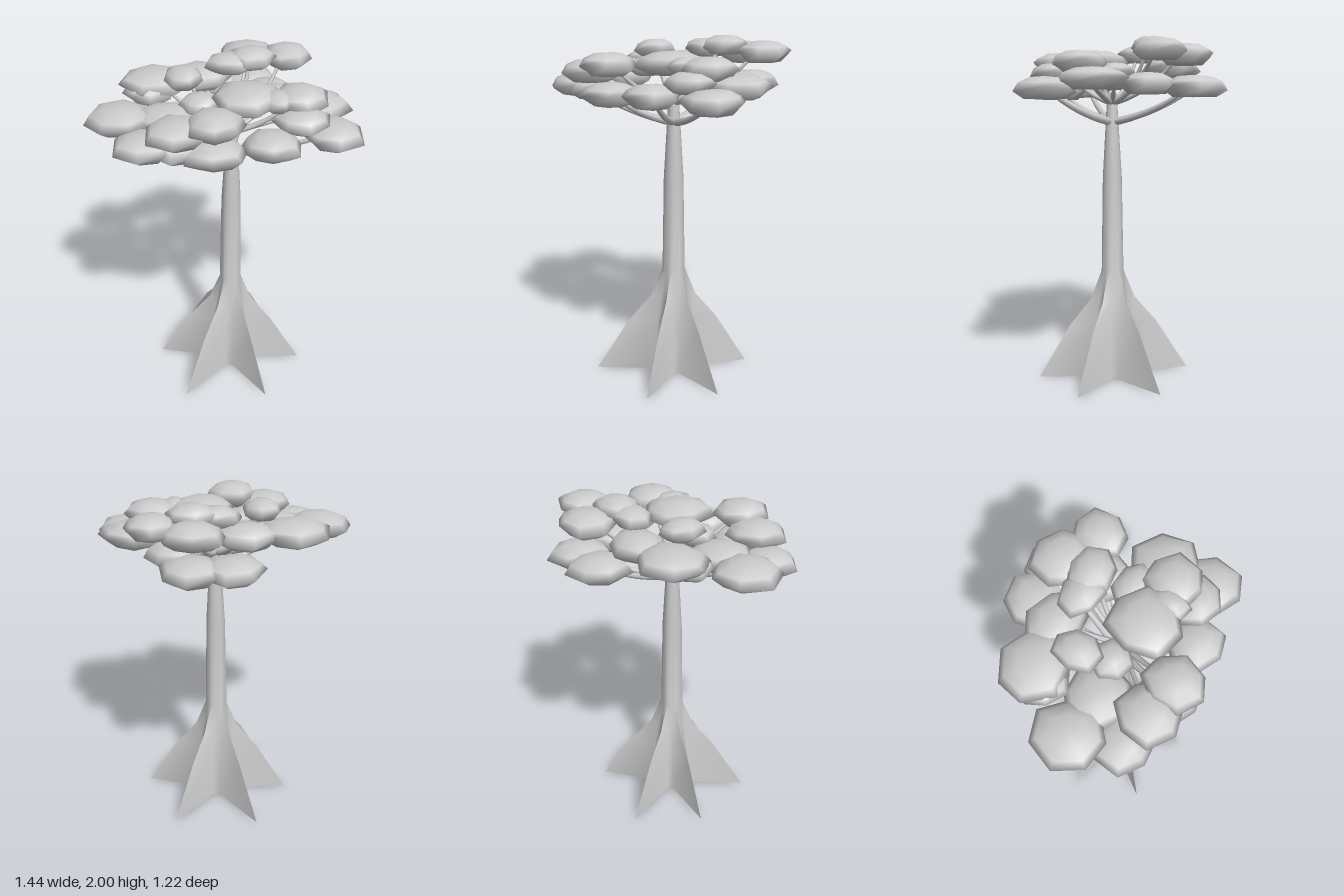
import * as THREE from 'three';
import { toCreasedNormals, mergeVertices } from 'three/addons/utils/BufferGeometryUtils.js';

const AXIS_X = 0.06, AXIS_Z = 0.07;
const material = new THREE.MeshStandardMaterial({ color: 0xcccccc });
const openMaterial = new THREE.MeshStandardMaterial({ color: 0xcccccc, side: THREE.DoubleSide });

// Buttress fins: angle in degrees and reach at the ground
const FINS = [[10, 0.445], [65, 0.445], [130, 0.47], [187, 0.445], [241, 0.47], [307, 0.45]];

// Trunk levels: height, share of the fin reach, radius of the valleys between fins
const LEVELS = [
  [0, 1, 0.13], [0.31, 0.58, 0.11], [0.47, 0.29, 0.088], [0.64, 0.145, 0.062],
  [1.2, 0.124, 0.055], [1.5, 0.085, 0.038], [1.69, 0.06, 0.027],
];

// Leaf clumps on their own branch: x, y, z, half width in x, half width in z
const CLUMPS = [
  // low tier
  [-0.41, 1.72, 0.37, 0.16, 0.16], [-0.06, 1.7, 0.43, 0.17, 0.16], [0.23, 1.715, 0.4, 0.16, 0.15],
  [0.565, 1.71, 0.29, 0.16, 0.18], [-0.01, 1.72, -0.42, 0.17, 0.17], [0.2, 1.72, -0.43, 0.17, 0.17],
  // middle tier
  [-0.53, 1.765, 0.14, 0.18, 0.19], [0.5, 1.76, 0.05, 0.2, 0.19], [-0.34, 1.83, -0.18, 0.21, 0.18],
  [-0.09, 1.83, -0.23, 0.18, 0.15], [-0.24, 1.81, 0.41, 0.17, 0.17], [-0.06, 1.86, 0.44, 0.15, 0.16],
  [0.3, 1.8, -0.02, 0.14, 0.1], [0.41, 1.85, 0.15, 0.15, 0.16],
  // high tier
  [0.13, 1.86, 0.15, 0.19, 0.2], [-0.19, 1.91, -0.03, 0.11, 0.13], [0.19, 1.89, -0.38, 0.17, 0.16],
  [0.4, 1.91, -0.29, 0.14, 0.15], [0.19, 1.94, -0.2, 0.14, 0.12],
];

// Clumps that only join their neighbours
const FILLERS = [
  [-0.25, 1.71, 0.38, 0.15, 0.14], [0.29, 1.735, -0.2, 0.15, 0.16], [-0.29, 1.76, 0.15, 0.19, 0.17],
  [-0.38, 1.8, -0.1, 0.14, 0.12], [0.4, 1.79, 0.3, 0.15, 0.12], [-0.11, 1.82, 0.11, 0.11, 0.11],
  [0.28, 1.86, 0.2, 0.09, 0.11], [0.07, 1.92, -0.18, 0.14, 0.11],
];

// Grid of rows x columns, closed around, from a point function
function loft(rows, cols, point) {
  const pos = [], index = [];
  for (let i = 0; i < rows; i++)
    for (let j = 0; j < cols; j++) pos.push(...point(i, j));
  for (let i = 0; i < rows - 1; i++)
    for (let j = 0; j < cols; j++) {
      const a = i * cols + j, b = i * cols + (j + 1) % cols, c = a + cols, d = b + cols;
      index.push(a, c, b, b, c, d);
    }
  const geo = new THREE.BufferGeometry();
  geo.setAttribute('position', new THREE.Float32BufferAttribute(pos, 3));
  geo.setIndex(index);
  return geo;
}

function mesh(geo, mat, name) {
  const m = new THREE.Mesh(geo, mat);
  m.name = name;
  return m;
}

// Star-shaped, hollow base that blends into a round trunk
function trunk() {
  const geo = loft(LEVELS.length, FINS.length * 3, (i, j) => {
    const [y, share, valley] = LEVELS[i];
    const k = Math.floor(j / 3), step = (j % 3) / 3;
    const [from, reach] = FINS[k];
    const to = k + 1 < FINS.length ? FINS[k + 1][0] : FINS[0][0] + 360;
    const r = step === 0 ? share * reach : valley;
    const a = THREE.MathUtils.degToRad(from + (to - from) * step);
    return [AXIS_X + r * Math.cos(a), y, AXIS_Z + r * Math.sin(a)];
  });
  return mesh(toCreasedNormals(geo, 1.2), openMaterial, 'trunk');
}

// Smooth domed seven-sided clump with an uneven rim and flatter underside
function clump([x, y, z, rx, rz], n) {
  const profile = [[0, -0.88], [0.64, -0.85], [1, -0.1], [0.82, 0.5], [0.48, 0.9], [0, 1]];
  const half = Math.min(0.064, 0.022 + 0.28 * Math.min(rx, rz));
  const geo = mergeVertices(loft(profile.length, 7, (i, j) => {
    const [r, h] = profile[i];
    const a = j / 7 * Math.PI * 2 + n * 1.7;
    const k = r * (1.03 + 0.06 * Math.sin(n * 5.3 + j * 2.4));
    const wave = i === 2 ? 0.25 * Math.sin(n * 2.1 + j * 1.9) : 0;
    return [x + k * rx * Math.cos(a), y + half * (h + wave), z + k * rz * Math.sin(a)];
  }));
  geo.computeVertexNormals();
  return mesh(geo, material, 'leafClump');
}

// Tapered branch sweeping outward and up into a clump
function branch([x, y, z]) {
  const low = y < 1.73;
  const start = new THREE.Vector3(AXIS_X, low ? 1.52 : 1.63, AXIS_Z);
  const end = new THREE.Vector3(x, y - 0.04, z).lerp(new THREE.Vector3(AXIS_X, y - 0.04, AXIS_Z), 0.15);
  const bend = start.clone().lerp(end, 0.55);
  bend.y = start.y + 0.04;
  const curve = new THREE.QuadraticBezierCurve3(start, bend, end);
  const rows = 8, sides = 6;
  const geo = new THREE.TubeGeometry(curve, rows, 1, sides);
  const p = geo.attributes.position, v = new THREE.Vector3();
  for (let i = 0; i < p.count; i++) {
    const t = Math.floor(i / (sides + 1)) / rows;
    const c = curve.getPointAt(t);
    v.fromBufferAttribute(p, i).sub(c).multiplyScalar((low ? 0.024 : 0.018) * (1 - 0.5 * t)).add(c);
    p.setXYZ(i, v.x, v.y, v.z);
  }
  return mesh(geo, openMaterial, 'branch');
}

export function createModel() {
  const tree = new THREE.Group();
  tree.name = 'tree';
  const canopy = new THREE.Group(), branches = new THREE.Group();
  canopy.name = 'canopy';
  branches.name = 'branches';
  canopy.add(...[...CLUMPS, ...FILLERS].map(clump));
  branches.add(...CLUMPS.map(branch));
  tree.add(trunk(), branches, canopy);
  return tree;
}
